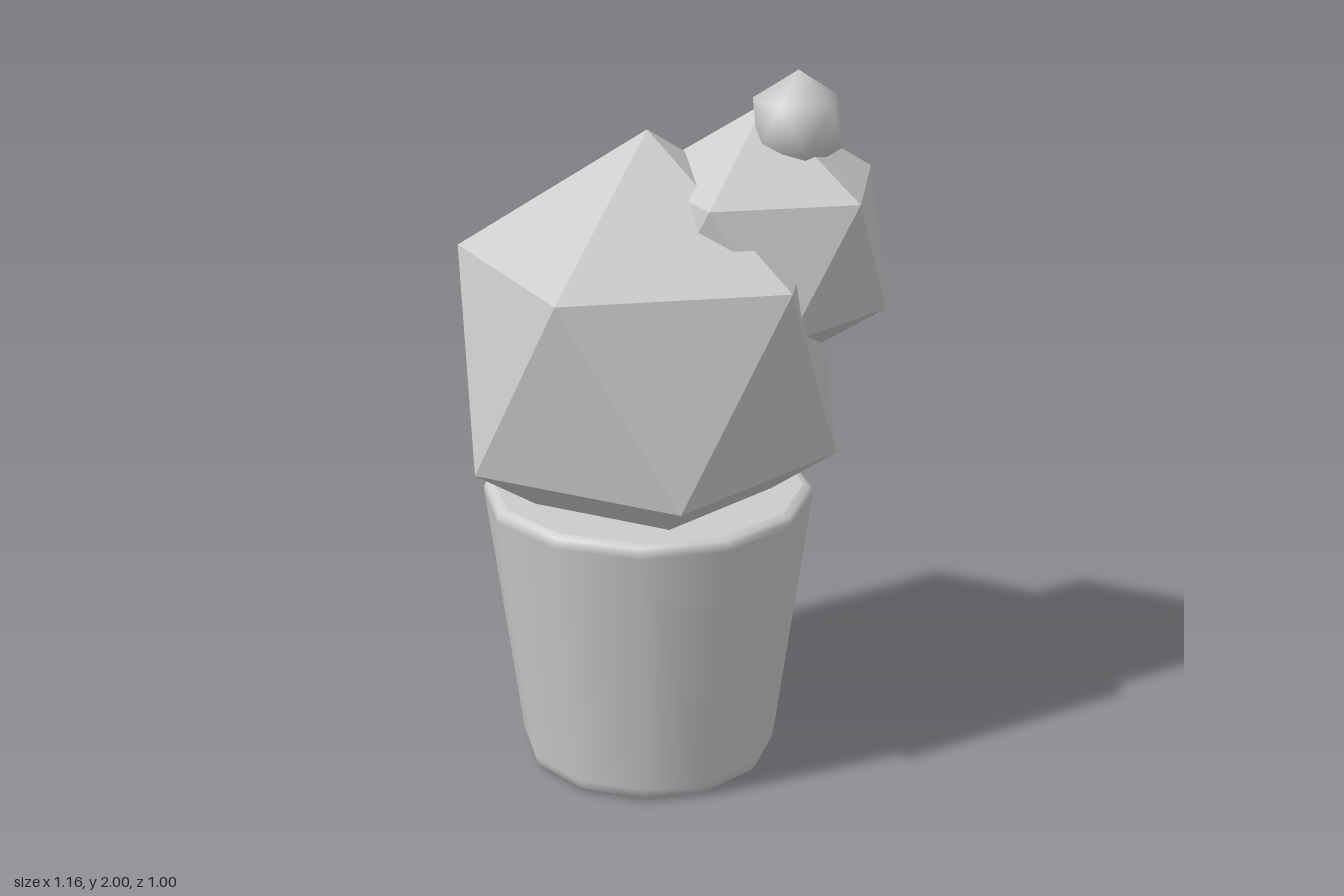
import * as THREE from 'three';
import { mergeVertices } from 'three/addons/utils/BufferGeometryUtils.js';

const grey = new THREE.MeshStandardMaterial({ color: 0xcccccc });
grey.name = 'pale grey';

const POT_X = -0.055;
const SIDES = 12;

// Icosahedron standing on a corner, with one upper-ring corner towards +x
function icosahedron(radius, height, smooth = false) {
  let geometry = new THREE.IcosahedronGeometry(1, 0);
  geometry.rotateX(-Math.atan((1 + Math.sqrt(5)) / 2));
  geometry.rotateY(Math.PI / 2);
  geometry.scale(radius, height, radius);
  if (smooth) {
    geometry.deleteAttribute('normal');
    geometry.deleteAttribute('uv');
    geometry = mergeVertices(geometry, 1e-4);
  }
  geometry.computeVertexNormals();
  return geometry;
}

export function createModel() {
  const model = new THREE.Group();
  model.name = 'pottedCactus';

  function add(name, geometry, x, y, z, parent = model) {
    const mesh = new THREE.Mesh(geometry, grey);
    mesh.name = name;
    mesh.position.set(x, y, z);
    parent.add(mesh);
    return mesh;
  }

  // Tapered pot with softened rims
  const pot = new THREE.Group();
  pot.name = 'pot';
  model.add(pot);
  const profile = [
    [0.327, 0], [0.345, 0.008], [0.357, 0.022], [0.363, 0.045],
    [0.462, 0.79], [0.462, 0.805], [0.455, 0.818], [0.435, 0.825],
  ].map(([r, y]) => new THREE.Vector2(r, y));
  add('potWall', new THREE.LatheGeometry(profile, SIDES), POT_X, 0, 0, pot);

  // Flat soil surface and pot base
  add('soil', new THREE.CircleGeometry(0.435, SIDES).rotateX(-Math.PI / 2), POT_X, 0.825, 0, pot);
  add('potBase', new THREE.CircleGeometry(0.327, SIDES).rotateX(Math.PI / 2), POT_X, 0, 0, pot);

  // Faceted cactus body, its offshoot and the smooth bud on top
  add('body', icosahedron(0.587, 0.619), POT_X, 1.217, 0);
  add('offshoot', icosahedron(0.382, 0.386), 0.238, 1.513, 0.115);
  add('bud', icosahedron(0.135, 0.143, true), 0.294, 1.857, 0.195);

  return model;
}
